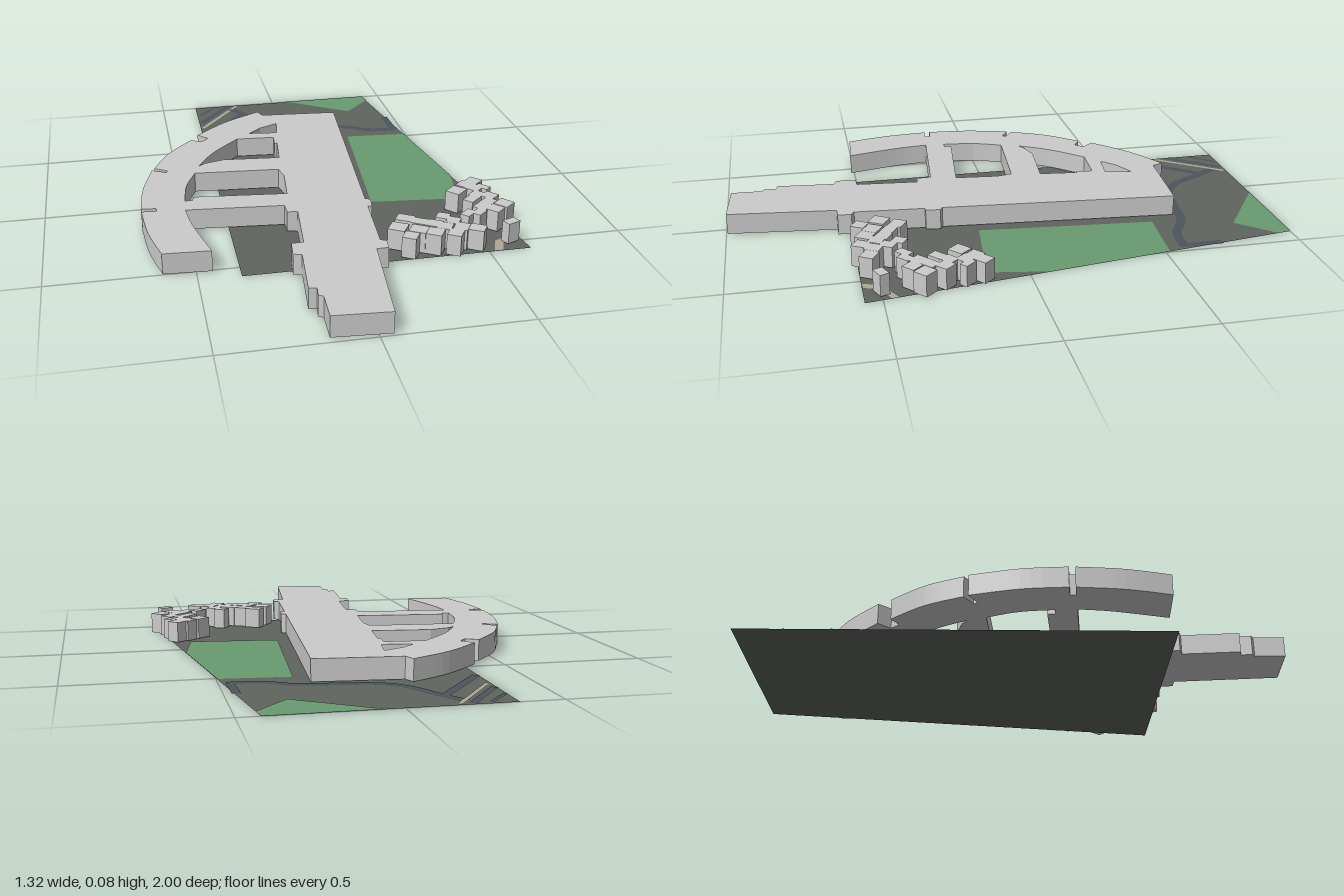
import * as THREE from 'three';

const material = (color) => new THREE.MeshStandardMaterial({ color, flatShading: true, side: THREE.DoubleSide });
const GREY = material(0xcccccc), EARTH = material(0x5f655f), GRASS = material(0x699b70);
const ROAD = material(0x4e545d), PATH = material(0xb0a894);
const TOP = 0.08, BASE = 0.004;

// Closed plan outline from [x, z] corners; a nested list is a smooth curve through its points.
function trace(path, points) {
  const flat = points.flatMap((p) => {
    if (!Array.isArray(p[0])) return [new THREE.Vector2(p[0], -p[1])];
    return new THREE.SplineCurve(p.map(([x, z]) => new THREE.Vector2(x, -z))).getPoints(10);
  });
  path.setFromPoints(flat);
  path.closePath();
  return path;
}

function addMesh(group, name, geometry, mat) {
  const mesh = new THREE.Mesh(geometry, mat);
  mesh.name = name;
  group.add(mesh);
  return mesh;
}

// Thin flat patch lying on the site
function addPatch(group, name, points, y, mat) {
  const geo = new THREE.ShapeGeometry(trace(new THREE.Shape(), points));
  geo.rotateX(-Math.PI / 2);
  addMesh(group, name, geo, mat).position.y = y;
}

// Ribbon of constant width following a plan curve
function addRibbon(group, name, points, width, y, mat) {
  const curve = new THREE.SplineCurve(points.map(([x, z]) => new THREE.Vector2(x, z)));
  const n = points.length > 2 ? 24 : 1, left = [], right = [];
  for (let i = 0; i <= n; i++) {
    const p = curve.getPoint(i / n), t = curve.getTangent(i / n);
    left.push([p.x - t.y * width / 2, p.y + t.x * width / 2]);
    right.unshift([p.x + t.y * width / 2, p.y - t.x * width / 2]);
  }
  addPatch(group, name, [...left, ...right], y, mat);
}

export function createModel() {
  const model = new THREE.Group();
  model.name = 'siteModel';

  // Site sheet, lawns, roads and paths
  const site = new THREE.Group();
  site.name = 'site';
  model.add(site);
  addPatch(site, 'ground', [[-0.355, -1], [0.425, -1], [0.65, 0.56], [-0.355, 0.56]], 0, EARTH);
  addPatch(site, 'backLawn', [[0.065, -1], [0.425, -1], [0.435, -0.95], [0.32, -0.825]], 0.002, GRASS);
  addPatch(site, 'mainLawn', [[0.25, -0.535], [0.495, -0.515], [0.56, -0.07], [0.525, 0.14], [0.195, 0.105]], 0.002, GRASS);
  addRibbon(site, 'mainRoad', [[-0.2, -0.96], [-0.14, -0.86], [-0.08, -0.75], [0, -0.69], [0.13, -0.665],
    [0.26, -0.645], [0.36, -0.59], [0.475, -0.58]], 0.034, 0.002, ROAD);
  addRibbon(site, 'sideRoad', [[-0.16, -0.88], [-0.345, -0.64]], 0.03, 0.002, ROAD);
  addRibbon(site, 'edgeRoad', [[0.46, -0.725], [0.463, -0.58]], 0.028, 0.002, ROAD);
  addRibbon(site, 'cornerRoad', [[-0.345, -0.81], [-0.21, -0.99]], 0.025, 0.002, ROAD);
  addRibbon(site, 'roadVerge', [[-0.345, -0.75], [-0.17, -0.99]], 0.015, 0.002, PATH);
  addRibbon(site, 'outerRoad', [[-0.345, -0.9], [-0.27, -0.99]], 0.015, 0.002, ROAD);
  addPatch(site, 'cornerPath', [[0.52, 0.558], [0.545, 0.49], [0.635, 0.445], [0.638, 0.475],
    [0.57, 0.505], [0.55, 0.558]], 0.002, PATH);

  // Main building: stepped spine joined by cross wings to a notched curved wing
  const plan = trace(new THREE.Shape(), [
    [-0.113, -0.698], [-0.097, -0.656], [0.209, -0.63],
    [0.14, 0.228], [0.157, 0.238], [0.151, 0.291], [0.135, 0.291], [0.115, 0.545],
    [0.135, 0.556], [0.13, 0.605], [0.088, 0.605], [0.045, 0.995],
    [-0.15, 0.98], [-0.145, 0.868], [-0.161, 0.857], [-0.155, 0.815], [-0.182, 0.81],
    [-0.161, 0.598], [-0.19, 0.587], [-0.182, 0.513], [-0.14, 0.513], [-0.118, 0.286],
    [-0.155, 0.28], [-0.155, 0.228],
    [[-0.504, 0.196], [-0.49, 0.32], [-0.446, 0.513]],
    [[-0.61, 0.503], [-0.645, 0.345], [-0.658, 0.18]],
    [-0.605, 0.185], [-0.605, 0.164],
    [[-0.658, 0.159], [-0.643, 0], [-0.599, -0.169]],
    [-0.546, -0.138], [-0.541, -0.153],
    [[-0.589, -0.185], [-0.525, -0.317], [-0.425, -0.439]],
    [-0.383, -0.413], [-0.356, -0.444],
    [[-0.393, -0.487], [-0.262, -0.608], [-0.113, -0.698]],
  ]);
  const courts = [
    [[-0.055, -0.55], [-0.071, -0.45], [-0.182, -0.464], [-0.129, -0.513]],
    [[[-0.42, -0.175], [-0.351, -0.291], [-0.24, -0.413]], [-0.092, -0.402], [-0.097, -0.339],
      [-0.087, -0.339], [-0.103, -0.196], [-0.319, -0.217], [-0.393, -0.196]],
    [[[-0.499, 0.122], [-0.483, 0], [-0.441, -0.111]], [-0.124, -0.085], [-0.113, -0.026],
      [-0.129, 0.132], [-0.467, 0.095], [-0.472, 0.122]],
  ];
  for (const court of courts) plan.holes.push(trace(new THREE.Path(), court));
  const building = new THREE.ExtrudeGeometry(plan, { depth: TOP - BASE, bevelEnabled: false });
  building.rotateX(-Math.PI / 2);
  addMesh(model, 'mainBuilding', building, GREY).position.y = BASE;

  // Small houses: [x, z, width, depth] in two clusters, each with its own turn
  const clusters = [
    { name: 'frontHouse', turn: -0.55, list: [
      [0.24, 0.405, 0.06, 0.05], [0.2, 0.465, 0.06, 0.06], [0.285, 0.44, 0.055, 0.045],
      [0.265, 0.495, 0.06, 0.055], [0.225, 0.535, 0.05, 0.05], [0.33, 0.465, 0.05, 0.05],
      [0.315, 0.525, 0.055, 0.055], [0.375, 0.415, 0.045, 0.045], [0.36, 0.49, 0.05, 0.05],
      [0.4, 0.455, 0.045, 0.05], [0.38, 0.545, 0.05, 0.05], [0.415, 0.505, 0.05, 0.055],
      [0.465, 0.525, 0.055, 0.05]] },
    { name: 'sideHouse', turn: 0.72, list: [
      [0.57, 0.16, 0.055, 0.05], [0.53, 0.18, 0.05, 0.045], [0.485, 0.225, 0.06, 0.055],
      [0.555, 0.215, 0.05, 0.055], [0.59, 0.215, 0.03, 0.05], [0.55, 0.27, 0.05, 0.045],
      [0.515, 0.305, 0.05, 0.04], [0.59, 0.29, 0.05, 0.05], [0.57, 0.335, 0.05, 0.045],
      [0.62, 0.36, 0.055, 0.055], [0.535, 0.37, 0.05, 0.05], [0.575, 0.395, 0.05, 0.05],
      [0.47, 0.41, 0.055, 0.035], [0.51, 0.41, 0.05, 0.035]] },
    { name: 'cornerHouse', turn: 0.4, list: [[0.595, 0.5, 0.05, 0.035]] },
  ];
  for (const { name, turn, list } of clusters) {
    for (const [x, z, w, d] of list) {
      const house = addMesh(model, name, new THREE.BoxGeometry(w, TOP - BASE, d), GREY);
      house.position.set(x, (TOP + BASE) / 2, z);
      house.rotation.y = turn;
    }
  }
  return model;
}
